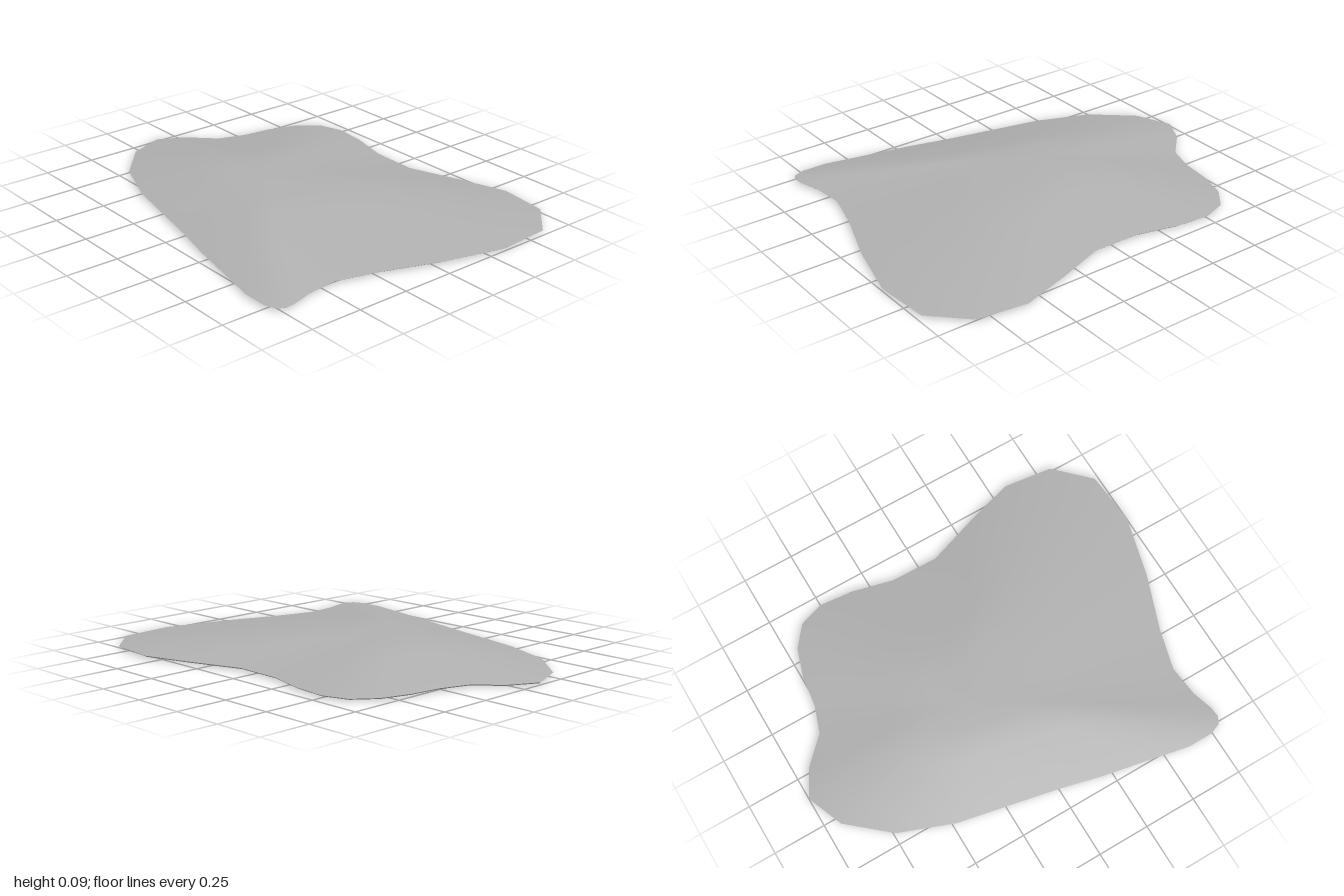
import * as THREE from 'three';

// Plan outline as x, z pairs, running clockwise seen from above
const OUTLINE = [
  [-0.5, -0.7], [-0.34, -0.685], [-0.14, -0.635], [0.09, -0.63], [0.35, -0.72], [0.58, -0.79],
  [0.82, -0.76], [0.98, -0.6], [1, -0.34], [0.92, -0.04], [0.82, 0.23], [0.765, 0.43],
  [0.78, 0.58], [0.81, 0.68], [0.815, 0.73], [0.795, 0.765], [0.74, 0.785], [0.62, 0.785],
  [0.45, 0.75], [0.2, 0.7], [0, 0.65], [-0.24, 0.6], [-0.48, 0.55], [-0.74, 0.45],
  [-0.93, 0.285], [-1, 0.11], [-0.93, -0.02], [-0.81, -0.14], [-0.765, -0.27],
  [-0.745, -0.42], [-0.7, -0.56], [-0.62, -0.66],
];
const SUMMIT = [-0.15, 0.1];

// Joins rings of the outline, each given as [scale about the summit, height]
function loft(rings) {
  const n = OUTLINE.length;
  const positions = [];
  const index = [];
  rings.forEach(([t, y], r) => {
    OUTLINE.forEach(([x, z], k) => {
      positions.push(SUMMIT[0] + (x - SUMMIT[0]) * t, y, SUMMIT[1] + (z - SUMMIT[1]) * t);
      if (r === rings.length - 1) return;
      const a = r * n + k;
      const b = r * n + (k + 1) % n;
      if (t > 0) index.push(a, b, a + n);
      if (rings[r + 1][0] > 0) index.push(b, b + n, a + n);
    });
  });
  const geometry = new THREE.BufferGeometry();
  geometry.setAttribute('position', new THREE.Float32BufferAttribute(positions, 3));
  geometry.setIndex(index);
  geometry.computeVertexNormals();
  return geometry;
}

export function createModel() {
  const model = new THREE.Group();
  model.name = 'flatStone';
  const stone = new THREE.MeshStandardMaterial({ color: 0xb0b0b0 });
  stone.name = 'stone grey';

  const add = (name, rings) => {
    const mesh = new THREE.Mesh(loft(rings), stone);
    mesh.name = name;
    model.add(mesh);
  };

  // Level summit falling along soft ridges to the thin rim
  add('upperSurface', [
    [0, 0.089], [0.24, 0.088], [0.36, 0.082], [0.5, 0.069],
    [0.7, 0.046], [0.86, 0.028], [1, 0.011],
  ]);
  // Undercut rim
  add('rim', [[1, 0.011], [0.99, 0.005], [0.95, 0]]);
  // Flat base
  add('underside', [[0.95, 0], [0, 0]]);

  return model;
}
